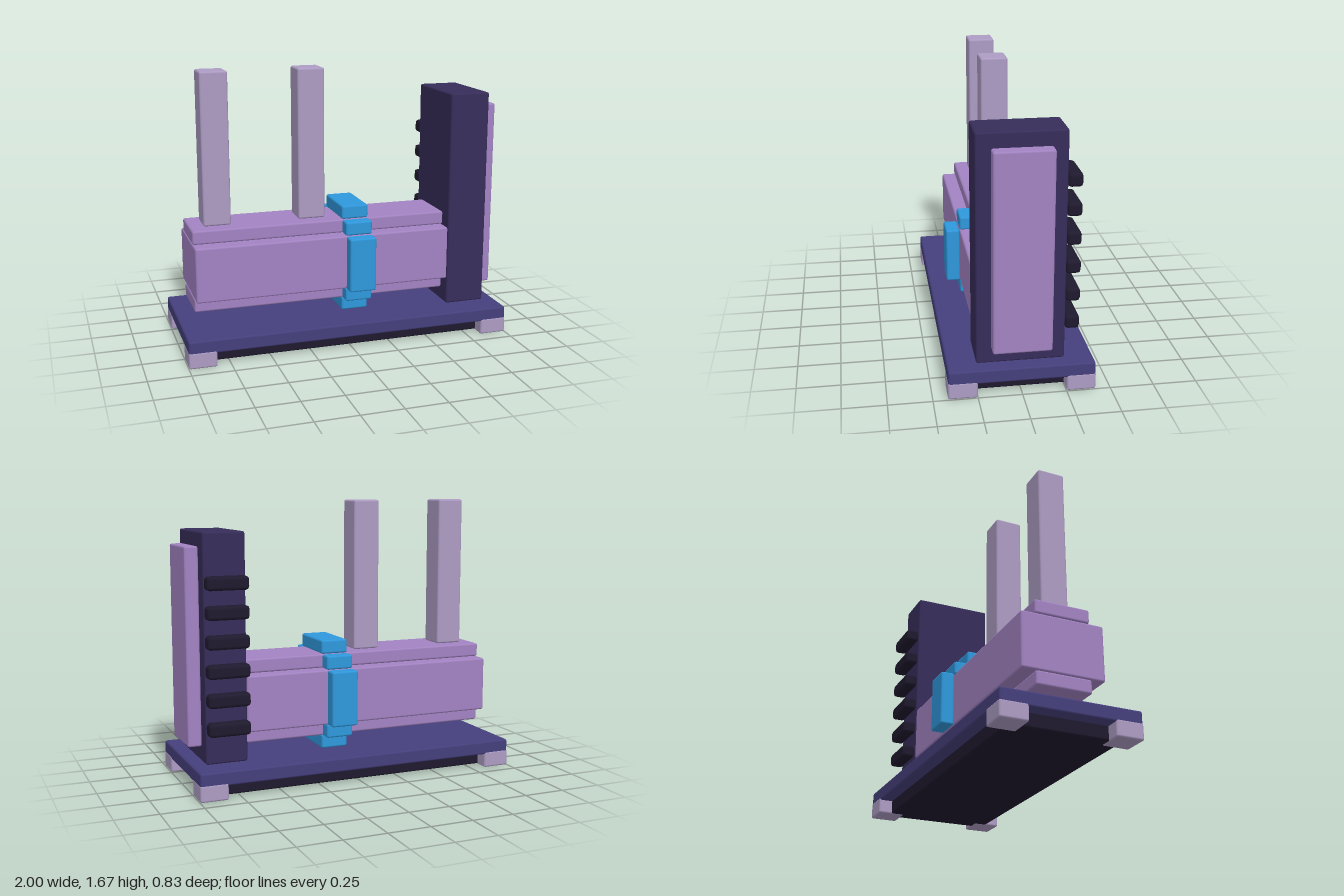
import * as THREE from 'three';
import { RoundedBoxGeometry } from 'three/addons/geometries/RoundedBoxGeometry.js';

const mat = (color) => new THREE.MeshStandardMaterial({ color });

export function createModel() {
  const model = new THREE.Group();
  const navy = mat(0x453f7c), indigo = mat(0x372d5a), black = mat(0x1f1a2e);
  const purple = mat(0xa283c2), lilac = mat(0xad9cc4), blue = mat(0x2f98dc);

  // Softly bevelled box given by its extents on each axis
  const box = (name, material, [x0, x1], [y0, y1], [z0, z1], bevel = 0.012) => {
    const geo = new RoundedBoxGeometry(x1 - x0, y1 - y0, z1 - z0, 1, bevel);
    const mesh = new THREE.Mesh(geo, material);
    mesh.position.set((x0 + x1) / 2, (y0 + y1) / 2, (z0 + z1) / 2);
    mesh.name = name;
    model.add(mesh);
  };
  const U = 1 / 12; // building module
  const span = (a, b) => [a * U, b * U];

  // Base plate, recessed underside and corner feet
  box('basePlate', navy, [-0.998, 0.998], span(1, 2), [-0.414, 0.414]);
  box('underside', black, span(-11, 11), [0.004, 0.095], span(-4, 4));
  for (const x of [-11, 11]) for (const z of [-4, 4]) {
    box('foot', lilac, span(x - 1, x + 1), [0, 0.1], span(z - 1, z + 1));
  }

  // Horizontal barrel: wide middle with narrower layers above and below
  box('barrelBottom', purple, span(-11, 8), span(3, 4), span(-2, 2));
  box('barrelMiddle', purple, span(-11, 8), span(4, 8), span(-3, 3));
  box('barrelTop', purple, span(-11, 8), span(8, 9), span(-2, 2));

  // Two chimney posts
  for (const x of [-9, -2]) box('post', lilac, span(x - 1, x + 1), span(9, 20), span(-1, 1));

  // Stepped band wrapped around the barrel
  const bandX = span(0, 2);
  box('bandBottom', blue, bandX, span(2, 3), span(-2, 2));
  box('bandTop', blue, bandX, span(9, 10), span(-2, 2));
  for (const s of [-1, 1]) {
    const side = (a, b) => (s > 0 ? span(a, b) : span(-b, -a));
    box('bandSide', blue, bandX, span(4, 8), side(3, 4));
    for (const y of [3, 8]) box('bandStep', blue, bandX, span(y, y + 1), side(2, 3));
  }

  // End tower with outer panel and ribs on the back
  box('tower', indigo, span(8, 11), span(2, 18), span(-3, 3));
  box('towerPanel', purple, span(11, 12), span(3.1, 17), span(-2, 2));
  for (let i = 0; i < 6; i++) {
    box('rib', black, span(8, 11), span(4.1 + 2 * i, 5.05 + 2 * i), span(-4, -3), 0.02);
  }

  return model;
}
